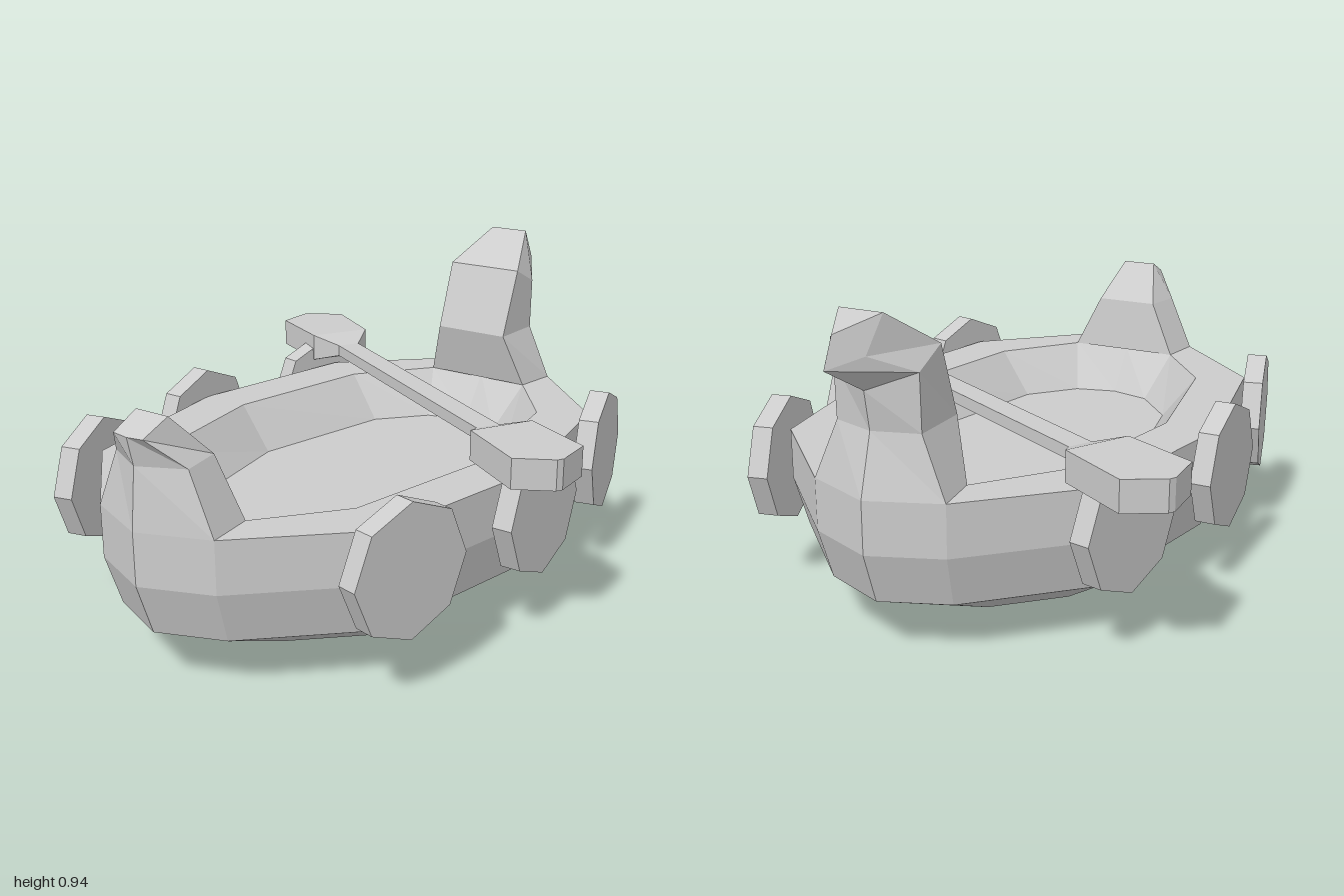
import * as THREE from 'three';

const grey = () => new THREE.MeshStandardMaterial({ color: 0xcccccc, flatShading: true, side: THREE.DoubleSide });

function addMesh(parent, name, geometry) {
  const mesh = new THREE.Mesh(geometry, grey());
  mesh.name = name;
  parent.add(mesh);
  return mesh;
}

// Skin a stack of rings that all have the same number of [x, y, z] points
function loft(rings) {
  const pos = [];
  const n = rings[0].length;
  for (let i = 0; i < rings.length - 1; i++) {
    for (let j = 0; j < n; j++) {
      const k = (j + 1) % n;
      const a = rings[i][j], b = rings[i][k], c = rings[i + 1][k], d = rings[i + 1][j];
      pos.push(...a, ...d, ...c, ...a, ...c, ...b);
    }
  }
  const g = new THREE.BufferGeometry();
  g.setAttribute('position', new THREE.Float32BufferAttribute(pos, 3));
  g.computeVertexNormals();
  return g;
}

// Twelve-sided plan ring from one quarter: bow end, two shoulders, widest side
function planRing(quarter, y, s = 1) {
  const [e, p, q, w] = quarter;
  const half = [e, p, q, w, [-q[0], q[1]], [-p[0], p[1]]];
  const full = [...half, ...half.map(([x, z]) => [-x, -z])];
  return full.map(([x, z]) => [x * s, y, z * s]);
}

// Five-sided post section: outer ridge, two sides, two inner corners
function postSection(dir, ridge, side, inner) {
  const at = ([x, y, z], s) => [dir * x, y, dir * s * z];
  return [at([...ridge, 0], 1), at(side, 1), at(inner, 1), at(inner, -1), at(side, -1)];
}

function post(dir, sections, apex) {
  const rings = sections.map((s) => postSection(dir, ...s));
  rings.push(Array(5).fill([dir * apex[0], apex[1], 0]));
  return loft(rings);
}

export function createModel() {
  const model = new THREE.Group();
  model.name = 'longboat';
  const boat = new THREE.Group();
  boat.name = 'boat';
  boat.position.set(-0.065, 0, -0.01);
  model.add(boat);

  // Hull: hollow underside, sloped bilge, upright sides, rim and sunken deck
  const outer = [[0.935, 0], [0.855, 0.2], [0.565, 0.5], [0, 0.6]];
  const rim = [[0.745, 0], [0.715, 0.18], [0.485, 0.36], [0, 0.447]];
  const deck = [[0.645, 0], [0.61, 0.13], [0.465, 0.255], [0, 0.347]];
  addMesh(boat, 'hull', loft([
    planRing(outer, 0.25, 0),
    planRing(outer, 0.25, 0.58),
    planRing(outer, 0, 0.58),
    planRing(outer, 0.16, 0.945),
    planRing(outer, 0.31),
    planRing(outer, 0.46),
    planRing(rim, 0.46),
    planRing(deck, 0.32),
    planRing(deck, 0.32, 0),
  ]));

  // Tall bow post rising from the rim, with a forward-bent, pointed head
  addMesh(boat, 'bowPost', post(1, [
    [[0.935, 0.46], [0.855, 0.46, 0.2], [0.715, 0.46, 0.18]],
    [[0.885, 0.63], [0.845, 0.63, 0.128], [0.667, 0.63, 0.125]],
    [[0.905, 0.74], [0.85, 0.79, 0.128], [0.745, 0.84, 0.128]],
    [[1.065, 0.83], [0.97, 0.85, 0.055], [0.905, 0.945, 0.065]],
  ], [1.028, 0.91]));

  // Short stern post curling outward
  addMesh(boat, 'sternPost', post(-1, [
    [[0.935, 0.46], [0.855, 0.46, 0.2], [0.715, 0.46, 0.18]],
    [[0.917, 0.63], [0.855, 0.63, 0.125], [0.735, 0.63, 0.1]],
    [[0.935, 0.71], [0.93, 0.712, 0.05], [0.845, 0.75, 0.055]],
  ], [0.89, 0.731]));

  // Octagonal shields, three along each side
  const shieldShape = new THREE.CylinderGeometry(0.19, 0.19, 0.06, 8).rotateX(Math.PI / 2);
  for (const s of [1, -1]) {
    for (const i of [-1, 0, 1]) {
      const shield = addMesh(boat, 'shield', shieldShape);
      shield.position.set(i * 0.538, 0.36, s * (i ? 0.548 : 0.627));
      shield.rotation.y = s * i * 0.235;
    }
  }

  // Double-bladed oar lying across the rim: [distance from middle, half width, half height]
  const oarHalf = [
    [0.485, 0.037, 0.018], [0.56, 0.1, 0.044], [0.8, 0.112, 0.044],
    [0.862, 0.01, 0.044], [0.862, 0, 0],
  ];
  const oarSections = [...oarHalf.map(([z, w, h]) => [-z, w, h]).reverse(), ...oarHalf];
  const oar = addMesh(model, 'oar', loft(oarSections.map(([z, w, h]) => [
    [w, h, z], [w, -h, z], [-w, -h, z], [-w, h, z],
  ].reverse())));
  oar.position.set(0.222, 0.532, 0.002);
  oar.rotation.y = -0.51;

  return model;
}
